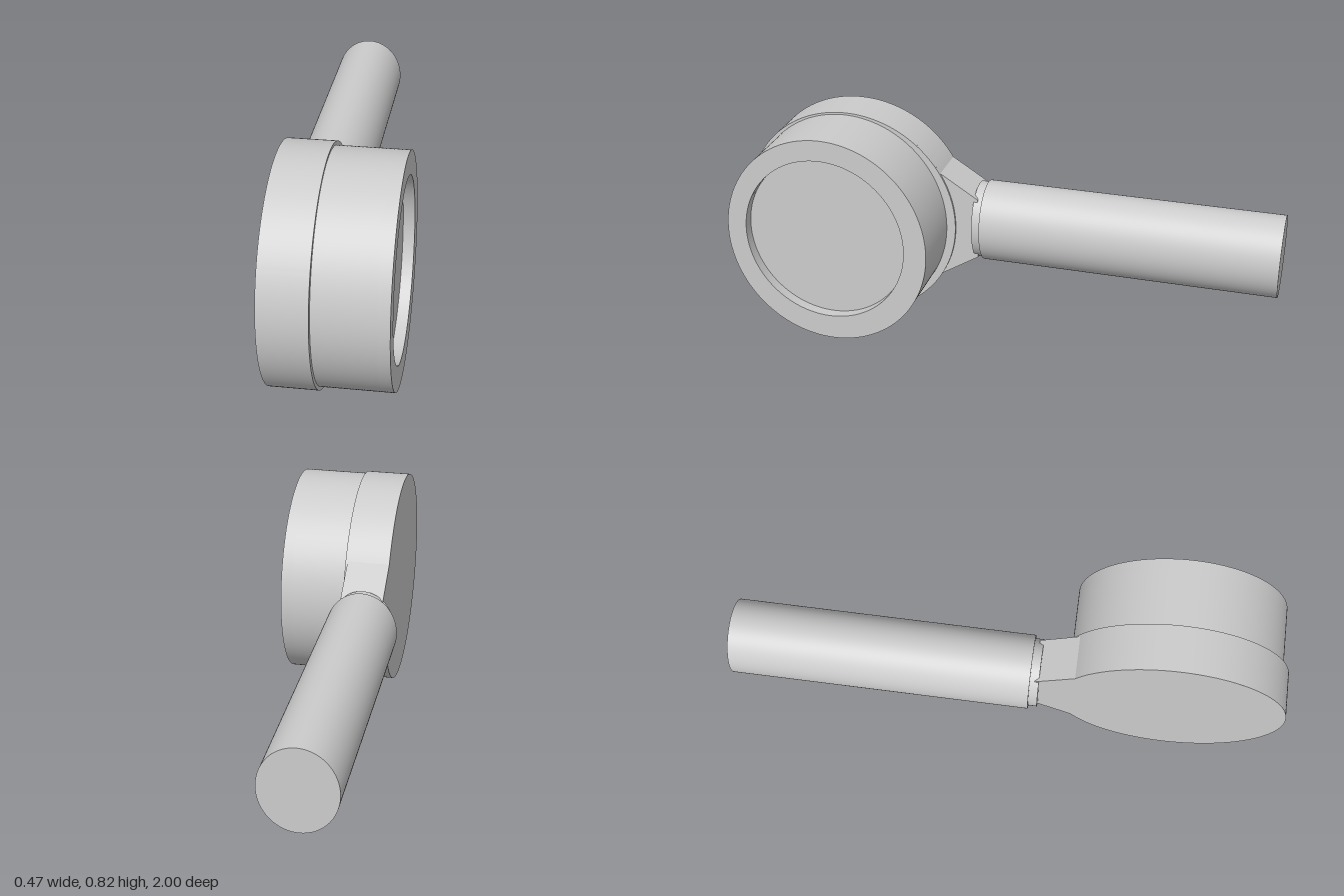
import * as THREE from 'three';
import { toCreasedNormals } from 'three/addons/utils/BufferGeometryUtils.js';

const CY = 0.408;

export function createModel() {
  const group = new THREE.Group();
  const material = new THREE.MeshStandardMaterial({ color: 0xcccccc });

  function add(name, geometry) {
    const mesh = new THREE.Mesh(geometry, material);
    mesh.name = name;
    group.add(mesh);
    return mesh;
  }

  // Side profiles use (-z, y) and are extruded along x from x0 to x1.
  function slab(name, shape, x0, x1) {
    const geo = new THREE.ExtrudeGeometry(shape, { depth: x1 - x0, bevelEnabled: false, curveSegments: 96 });
    geo.rotateY(Math.PI / 2).translate(x0, 0, 0);
    return add(name, toCreasedNormals(geo, 0.4));
  }
  const ellipse = (type, z, y, rz, ry) =>
    new type().absellipse(-z, y, rz, ry, 0, Math.PI * 2, false, 0);

  // Round housing flowing into the tapered neck
  const housing = new THREE.Shape();
  const a = 0.53;
  housing.absarc(-0.592, CY, 0.408, a, Math.PI * 2 - a, false);
  housing.lineTo(-0.1, CY - 0.118);
  housing.lineTo(-0.1, CY + 0.118);
  housing.closePath();
  slab('housing', housing, -0.177, -0.02);
  slab('housingRim', ellipse(THREE.Shape, 0.592, CY, 0.408, 0.408), -0.02, -0.012);

  // Front cap with a shallow recessed face
  const cap = () => ellipse(THREE.Shape, 0.598, CY + 0.001, 0.381, 0.399);
  slab('capBase', cap(), -0.012, 0.194);
  const ring = cap();
  ring.holes.push(ellipse(THREE.Path, 0.604, 0.416, 0.303, 0.313));
  slab('capRing', ring, 0.194, 0.234);

  // Oval handle and collar along z
  function ovalRod(name, rx, ry, z0, z1) {
    const geo = new THREE.CylinderGeometry(1, 1, z1 - z0, 96);
    geo.rotateX(Math.PI / 2).scale(rx, ry, 1);
    geo.translate(-0.102, 0.41, (z0 + z1) / 2);
    add(name, geo);
  }
  ovalRod('handle', 0.132, 0.152, -1, 0.083);
  ovalRod('collar', 0.119, 0.146, 0.083, 0.115);

  // Small button under the handle
  const button = add('button', new THREE.SphereGeometry(0.03, 24, 16));
  button.scale.y = 0.3;
  button.position.set(-0.102, 0.261, -0.09);

  return group;
}
